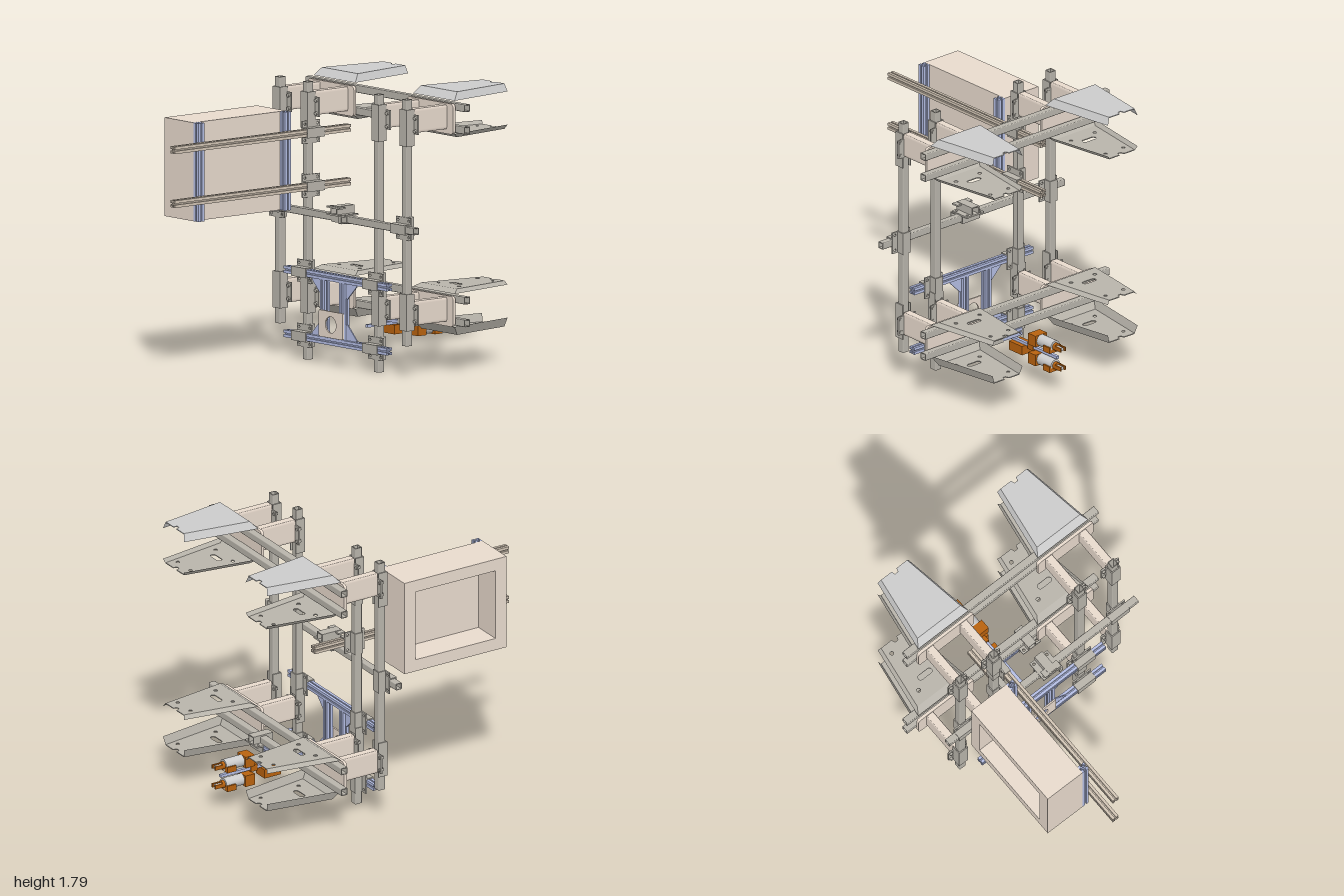
import * as THREE from 'three';

const mat = (color) => new THREE.MeshStandardMaterial({ color, side: THREE.DoubleSide });
const grey = mat(0xcccccc), steel = mat(0xb8b4ab), beige = mat(0xe8dacd);
const blue = mat(0xb4bee4), orange = mat(0xb8620f), rail = mat(0xd2c5b5);
const H = Math.PI / 2;

export function createModel() {
  const root = new THREE.Group();
  const add = (name, geo, m, x = 0, y = 0, z = 0, parent = root) => {
    const mesh = new THREE.Mesh(geo, m);
    mesh.name = name;
    mesh.position.set(x, y, z);
    parent.add(mesh);
    return mesh;
  };
  const box = (name, m, x0, x1, y0, y1, z0, z1) =>
    add(name, new THREE.BoxGeometry(x1 - x0, y1 - y0, z1 - z0), m, (x0 + x1) / 2, (y0 + y1) / 2, (z0 + z1) / 2);
  const poly = (pts) => new THREE.Shape(pts.map(([x, y]) => new THREE.Vector2(x, y)));
  const circle = (x, y, r) => new THREE.Path().absarc(x, y, r, 0, Math.PI * 2, true);
  const rect = (w, h, r = 0) => {
    const s = new THREE.Shape(), a = w / 2, b = h / 2;
    if (!r) return poly([[-a, -b], [a, -b], [a, b], [-a, b]]);
    s.absarc(a - r, b - r, r, 0, H).absarc(r - a, b - r, r, H, 2 * H);
    s.absarc(r - a, r - b, r, 2 * H, 3 * H).absarc(a - r, r - b, r, 3 * H, 4 * H);
    return s;
  };
  // centred extrusion along z
  const extrude = (shape, depth) =>
    new THREE.ExtrudeGeometry(shape, { depth, bevelEnabled: false, curveSegments: 8 }).translate(0, 0, -depth / 2);
  const along = { x: (g) => g.rotateY(H), y: (g) => g.rotateX(-H), z: (g) => g };

  // hollow square tube and slotted framing profile
  const tubeShape = (s) => {
    const sh = rect(s, s, s * 0.12);
    sh.holes.push(rect(s * 0.78, s * 0.78));
    return sh;
  };
  const slotShape = (s) => {
    const a = s / 2, pts = [];
    const side = [[-a, -a], [-a * 0.2, -a], [-a * 0.2, -a * 0.75], [-a * 0.5, -a * 0.75], [-a * 0.2, -a * 0.42],
      [a * 0.2, -a * 0.42], [a * 0.5, -a * 0.75], [a * 0.2, -a * 0.75], [a * 0.2, -a]];
    for (let k = 0; k < 4; k++) {
      const c = Math.round(Math.cos(k * H)), n = Math.round(Math.sin(k * H));
      side.forEach(([x, y]) => pts.push([x * c - y * n, x * n + y * c]));
    }
    const sh = poly(pts);
    sh.holes.push(circle(0, 0, a * 0.15));
    return sh;
  };
  const bar = (name, shape, m, axis, len, x, y, z) => add(name, along[axis](extrude(shape, len)), m, x, y, z);

  // U channel, its crown toward +z and its length along y
  const channel = (w, d, len, t = 0.007) => {
    const a = w / 2, b = a - t;
    return extrude(poly([[-a, 0], [-a, d], [a, d], [a, 0], [b, 0], [b, d - t], [-b, d - t], [-b, 0]]), len).rotateX(H);
  };
  // crossing clamp: drilled plate between two perpendicular channels
  const clamp = (x, y, z, rx = 0, ry = 0) => {
    const g = new THREE.Group();
    g.name = 'crossClamp';
    const plate = rect(0.145, 0.145);
    for (const i of [-1, 1]) for (const j of [-1, 1]) plate.holes.push(circle(i * 0.052, j * 0.052, 0.009));
    add('clampPlate', extrude(plate, 0.01), steel, 0, 0, 0, g);
    add('frontChannel', channel(0.062, 0.054, 0.145).rotateZ(H), steel, 0, 0, 0, g);
    add('rearChannel', channel(0.062, 0.057, 0.145).rotateX(Math.PI), steel, 0, 0, 0, g);
    g.position.set(x, y, z);
    g.rotation.set(rx, ry, 0);
    root.add(g);
  };

  // upright posts
  const inner = [-0.352, 0.343], outer = [-0.624, 0.617], posts = [...inner, ...outer];
  for (const x of inner) bar('innerPost', tubeShape(0.05), steel, 'y', 1.775, x, 0.8875, -0.16);
  for (const x of outer) bar('outerPost', tubeShape(0.05), steel, 'y', 1.575, x, 0.9875, -0.16);

  // rear cross tubes and front cross tube
  for (const y of [1.7, 1.557, 0.47, 0.325]) bar('rearCrossTube', tubeShape(0.047), steel, 'x', 1.555, -0.002, y, -0.525);
  bar('frontCrossTube', tubeShape(0.045), steel, 'x', 1.535, -0.002, 0.952, -0.111);
  for (const x of outer) clamp(x, 0.952, -0.134);
  clamp(0.035, 0.977, -0.118, H);
  box('sensorTab', steel, -0.03, 0.1, 1.02, 1.03, -0.09, -0.04);
  bar('sensorTube', tubeShape(0.048), steel, 'x', 0.03, 0.1, 0.952, -0.064);

  // flared fork blade; s is +1 for flanges hanging down, -1 for flanges rising
  const blade = (x, y, s, h, m, holes) => {
    const g = new THREE.Group();
    g.name = 'forkBlade';
    const deck = poly([[-0.175, 0.54], [0.175, 0.54], [0.106, 0.99], [0.02, 0.99], [0.012, 0.965],
      [-0.012, 0.965], [-0.02, 0.99], [-0.106, 0.99]]);
    if (holes) {
      for (const i of [-1, 1]) {
        deck.holes.push(circle(i * 0.1, 0.62, 0.013), circle(i * 0.075, 0.92, 0.012));
      }
      const slot = new THREE.Path();
      slot.absarc(0.035, 0.68, 0.018, -H, H).absarc(-0.035, 0.68, 0.018, H, 3 * H);
      deck.holes.push(slot);
    }
    add('bladeDeck', extrude(deck, 0.006).rotateX(-H), m, 0, -s * 0.003, 0, g);
    const quad = (a, b, c, d) => {
      const geo = new THREE.BufferGeometry();
      geo.setAttribute('position', new THREE.Float32BufferAttribute([...a, ...b, ...c, ...d], 3));
      geo.setIndex([0, 1, 2, 0, 2, 3]);
      geo.computeVertexNormals();
      add('bladeFlange', geo, m, 0, 0, 0, g);
    };
    const lo = -s * h;
    for (const i of [-1, 1]) {
      quad([i * 0.175, 0, -0.54], [i * 0.205, lo, -0.495], [i * 0.125, lo, -1], [i * 0.106, 0, -0.99]);
    }
    quad([-0.175, 0, -0.54], [0.175, 0, -0.54], [0.205, lo, -0.495], [-0.205, lo, -0.495]);
    g.position.set(x, y, 0);
    root.add(g);
  };

  // four fork stations: sleeves, beams, mounting plate and two blades
  for (const top of [true, false]) {
    const mid = top ? 1.63 : 0.4;
    for (const x of posts) {
      const y = top ? 1.615 : 0.4;
      add('postSleeve', channel(0.072, 0.065, 0.235), steel, x, top ? 1.595 : 0.415, -0.192);
      add('sleeveFlange', new THREE.BoxGeometry(0.145, 0.125, 0.01), steel, x, y, -0.192);
      for (const i of [-1, 1]) for (const j of [-1, 1]) {
        add('bolt', new THREE.CylinderGeometry(0.012, 0.012, 0.03, 6).rotateX(H), steel, x + i * 0.055, y + j * 0.042, -0.188);
      }
      add('standoffBeam', extrude(tubeShape(1).clone(), 0.275).scale(0.058, 0.155, 1), beige, x, mid + 0.005, -0.332);
    }
    for (const x of [-0.49, 0.482]) {
      add('mountingPlate', extrude(rect(0.45, 0.195, 0.025), 0.02), beige, x, mid - 0.005, -0.475);
      if (top) {
        blade(x, 1.79, 1, 0.05, grey, false);
        blade(x, 1.5, -1, 0.028, steel, true);
      } else {
        blade(x, 0.53, 1, 0.025, steel, true);
        blade(x, 0.236, -1, 0.058, steel, true);
      }
    }
  }

  // slotted lower frame with gussets and drilled panel
  for (const y of [0.563, 0.153]) {
    bar('frameRail', slotShape(0.046), blue, 'x', 1.005, -0.002, y, -0.11);
    for (const x of inner) clamp(x, y, -0.134);
  }
  for (const [x, s] of [[-0.127, -1], [0.063, 1]]) {
    bar('frameUpright', slotShape(0.046), blue, 'y', 0.364, x, 0.358, -0.11);
    for (const [y, d] of [[0.54, -1], [0.176, 1]]) {
      const e = s * 0.023;
      const tri = poly([[e, 0], [e + s * 0.1, 0], [e + s * 0.1, d * 0.012], [e + s * 0.012, d * 0.1], [e, d * 0.1]]);
      add('gusset', extrude(tri, 0.008), blue, x, y, -0.11);
    }
  }
  const panel = rect(0.235, 0.17, 0.01);
  panel.holes.push(circle(0, 0, 0.053));
  add('drilledPanel', extrude(panel, 0.01), beige, -0.031, 0.264, -0.081);

  // deep box, recessed on its outer side, with slotted edge strips
  const rim = rect(0.765, 0.63);
  rim.holes.push(rect(0.6, 0.47));
  add('boxRim', extrude(rim, 0.2).rotateY(H), beige, -0.563, 1.285, 0.382);
  box('boxBody', beige, -0.463, -0.38, 0.97, 1.6, 0, 0.765);
  for (const z of [0.024, 0.74]) bar('boxStrip', slotShape(0.05), blue, 'y', 0.63, -0.355, 1.285, z);

  // long slotted rails carrying the box
  for (const y of [1.457, 1.113]) {
    bar('boxRail', slotShape(0.046), rail, 'z', 1.455, -0.302, y, 0.2725);
    clamp(-0.326, y, -0.162, 0, H);
  }

  // rear actuator: support profile, arm and twin cylinders
  bar('actuatorSupport', slotShape(0.05), blue, 'x', 0.31, 0.115, 0.275, -0.527);
  clamp(0.2, 0.301, -0.527, H);
  box('actuatorArm', blue, 0.003, 0.024, 0.227, 0.246, -0.95, -0.335);
  box('armBlock', orange, -0.045, 0.055, 0.168, 0.228, -0.655, -0.53);
  box('armLink', orange, -0.002, 0.03, 0.215, 0.26, -0.73, -0.68);
  const cyl = (name, m, r, y, z0, z1) =>
    add(name, new THREE.CylinderGeometry(r, r, z0 - z1, 20).rotateX(H), m, 0.013, y, (z0 + z1) / 2);
  for (const y of [0.306, 0.176]) {
    cyl('cylinderBarrel', grey, 0.038, y, -0.77, -0.925);
    cyl('cylinderRod', grey, 0.012, y, -0.92, -0.99);
    cyl('cylinderCap', orange, 0.025, y, -0.92, -0.945);
    box('cylinderFoot', orange, -0.035, 0.061, y - 0.038, y + 0.038, -0.79, -0.72);
    box('cylinderHead', orange, -0.035, 0.061, y - 0.04, y, -0.925, -0.86);
    for (const x of [-0.005, 0.031]) box('rodClevis', orange, x - 0.005, x + 0.005, y - 0.013, y + 0.013, -1, -0.945);
  }
  return root;
}
